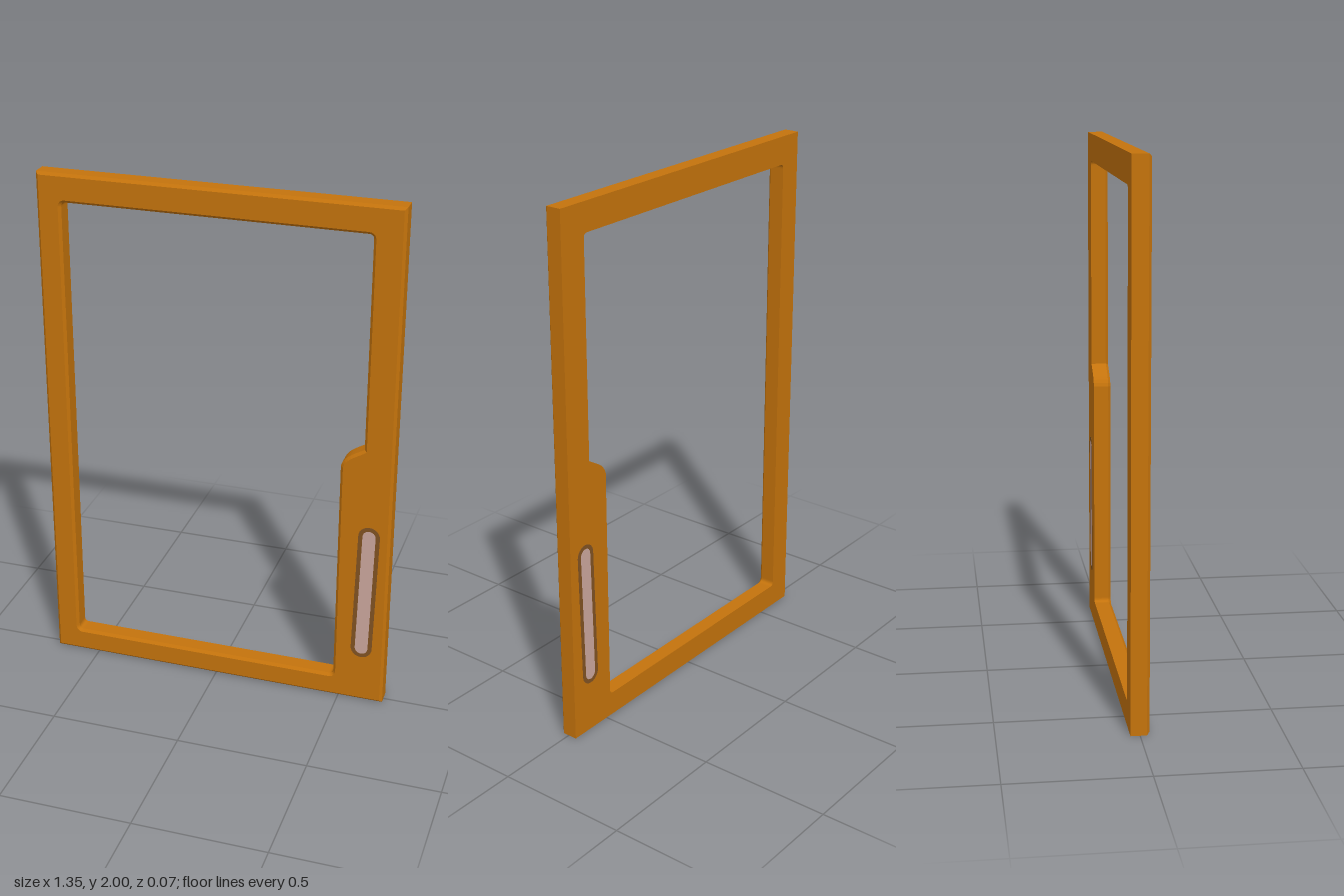
import * as THREE from 'three';

const HALF_W = 0.675, HEIGHT = 2, BACK = -0.034, FRONT = 0.034, CHAMFER = 0.01;

// Window opening with rounded corners and a swept step above the handle panel
function openingPath() {
  const l = -0.583, r = 0.563, rLow = 0.477, b = 0.092, t = 1.893, c = 0.018;
  const p = new THREE.Path();
  p.moveTo(l + c, b);
  p.lineTo(rLow - c, b);
  p.quadraticCurveTo(rLow, b, rLow, b + c);
  p.lineTo(rLow, 1.0);
  p.bezierCurveTo(0.485, 1.04, 0.53, 1.055, r, 1.077);
  p.lineTo(r, t - c);
  p.quadraticCurveTo(r, t, r - c, t);
  p.lineTo(l + c, t);
  p.quadraticCurveTo(l, t, l, t - c);
  p.lineTo(l, b + c);
  p.quadraticCurveTo(l, b, l + c, b);
  return p;
}

// Slightly leaning slot outline, grown or shrunk by its half width
function slotPoints(radius) {
  const top = [0.596, 0.724], bottom = [0.585, 0.237], pts = [];
  for (let i = 0; i <= 12; i++) {
    const a = Math.PI * i / 12;
    pts.push(new THREE.Vector2(top[0] + radius * Math.cos(a), top[1] + radius * Math.sin(a)));
  }
  for (let i = 0; i <= 12; i++) {
    const a = Math.PI * (1 + i / 12);
    pts.push(new THREE.Vector2(bottom[0] + radius * Math.cos(a), bottom[1] + radius * Math.sin(a)));
  }
  return pts;
}

export function createModel() {
  const group = new THREE.Group();
  const material = (name, color) => new THREE.MeshStandardMaterial({ name, color });
  const orange = material('orange frame', 0xc4730c);
  const brown = material('brown surround', 0x805222);
  const pink = material('pale grip', 0xcba69c);

  const add = (name, geometry, mat, z) => {
    const mesh = new THREE.Mesh(geometry, mat);
    mesh.name = name;
    mesh.position.z = z;
    group.add(mesh);
  };

  // Door frame: chamfered towards the front, square at the back
  const outline = new THREE.Shape([
    new THREE.Vector2(-HALF_W, 0), new THREE.Vector2(HALF_W, 0),
    new THREE.Vector2(HALF_W, HEIGHT), new THREE.Vector2(-HALF_W, HEIGHT),
  ]);
  outline.holes.push(openingPath());
  const frame = new THREE.ExtrudeGeometry(outline, {
    depth: FRONT - BACK - CHAMFER, curveSegments: 8, bevelEnabled: true,
    bevelSegments: 1, bevelSize: CHAMFER, bevelThickness: CHAMFER, bevelOffset: -CHAMFER,
  });
  const pos = frame.attributes.position;
  for (let i = 0; i < pos.count; i++) pos.setZ(i, Math.max(0, pos.getZ(i)));
  frame.computeVertexNormals();
  add('doorFrame', frame, orange, BACK);

  // Handle surround and grip, as thin inlays on both faces
  const surround = new THREE.Shape(slotPoints(0.041));
  surround.holes.push(new THREE.Path(slotPoints(0.025)));
  const grip = new THREE.Shape(slotPoints(0.025));
  const plate = (shape, depth) => new THREE.ExtrudeGeometry(shape, { depth, bevelEnabled: false });
  for (const [side, z] of [['front', FRONT - 0.001], ['back', BACK - 0.001]]) {
    add(side + 'HandleSurround', plate(surround, 0.002), brown, z);
    add(side + 'HandleGrip', plate(grip, 0.002), pink, z);
  }
  return group;
}
